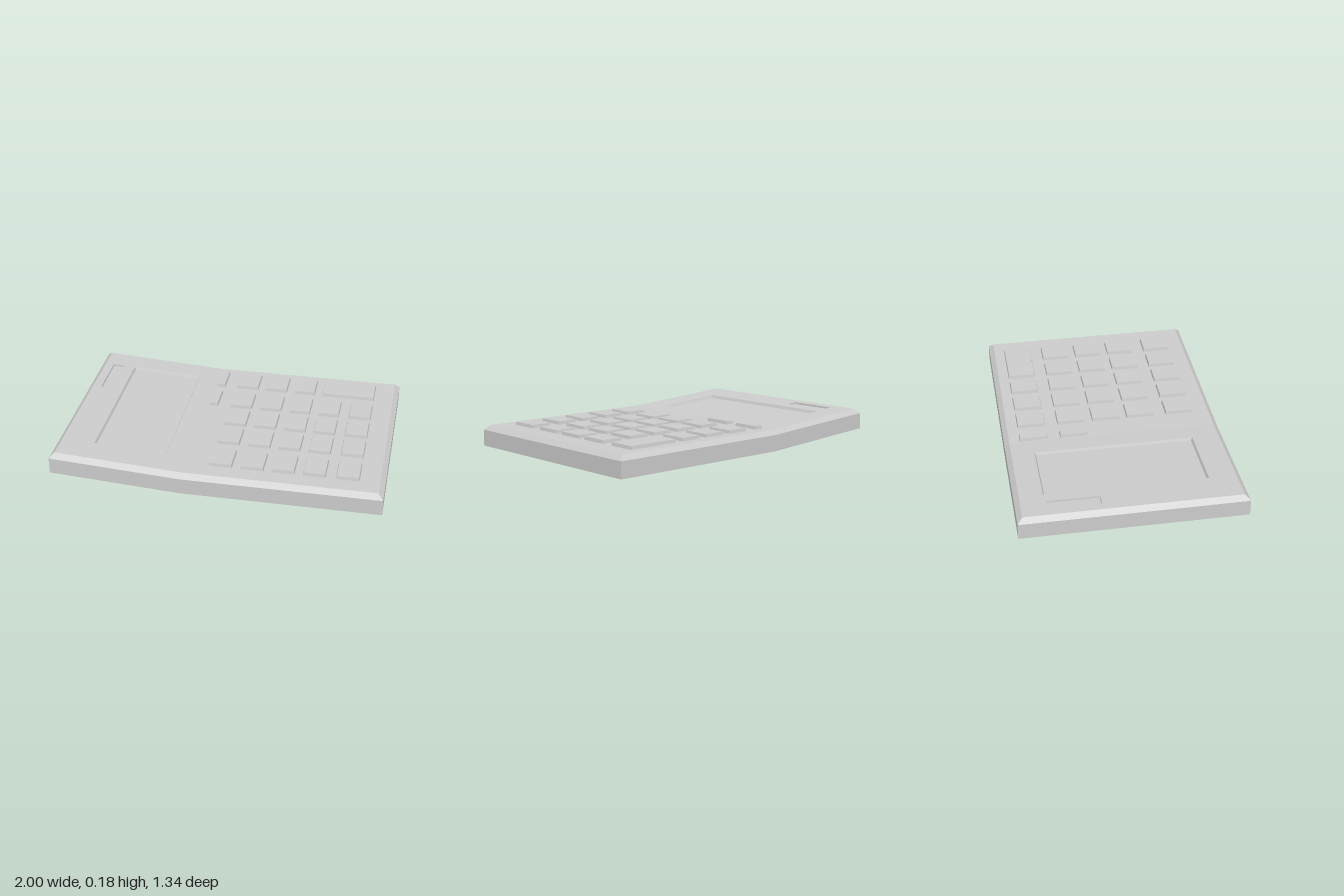
import * as THREE from 'three';

const material = new THREE.MeshStandardMaterial({ color: 0xcccccc, flatShading: true, side: THREE.DoubleSide });
const BEND = -0.2, TOP = 0.13;

// The case is flat on the key side and tilts upward beyond the bend line
const lift = x => Math.max(0, BEND - x) * 0.0625;

// Rectangle as a counter-clockwise loop, with extra points on the bend line
function loop([x0, x1, z0, z1], y, inset = 0) {
  const a = x0 + inset, b = x1 - inset, c = z0 + inset, d = z1 - inset;
  const bent = a < BEND && b > BEND;
  const plan = bent
    ? [[a, d], [BEND, d], [b, d], [b, c], [BEND, c], [a, c]]
    : [[a, d], [b, d], [b, c], [a, c]];
  return plan.map(([x, z]) => [x, y + lift(x), z]);
}

// Walls between successive loops, with an optional flat cap on the last one
function shell(name, loops, cap) {
  const pos = [];
  const quad = (a, b, c, d) => pos.push(...a, ...b, ...c, ...a, ...c, ...d);
  for (let k = 0; k < loops.length - 1; k++) {
    const lo = loops[k], hi = loops[k + 1], n = lo.length;
    for (let i = 0; i < n; i++) {
      const j = (i + 1) % n;
      quad(lo[i], lo[j], hi[j], hi[i]);
    }
  }
  if (cap) quad(...loops[loops.length - 1]);
  const geo = new THREE.BufferGeometry();
  geo.setAttribute('position', new THREE.Float32BufferAttribute(pos, 3));
  geo.computeVertexNormals();
  const mesh = new THREE.Mesh(geo, material);
  mesh.name = name;
  return mesh;
}

// Part of the top face, cut out under every key and recess
function plate(name, [x0, x1, z0, z1], holes) {
  const corners = (a, b, c, d) => [[a, -d], [b, -d], [b, -c], [a, -c]].map(p => new THREE.Vector2(...p));
  const shape = new THREE.Shape(corners(x0, x1, z0, z1));
  for (const h of holes) shape.holes.push(new THREE.Path(corners(...h).reverse()));
  const geo = new THREE.ShapeGeometry(shape).rotateX(-Math.PI / 2);
  const p = geo.attributes.position;
  for (let i = 0; i < p.count; i++) p.setY(i, TOP + lift(p.getX(i)));
  geo.computeVertexNormals();
  const mesh = new THREE.Mesh(geo, material);
  mesh.name = name;
  return mesh;
}

export function createModel() {
  const model = new THREE.Group();
  model.name = 'calculator';

  // Open-bottomed case with a chamfered rim
  const outline = [-1, 1, -0.67, 0.67];
  model.add(shell('caseWalls', [loop(outline, 0), loop(outline, 0.1), loop(outline, TOP, 0.03)], false));

  // Key layout
  const columns = [[-0.05, 0.09], [0.14, 0.28], [0.33, 0.465], [0.515, 0.65], [0.71, 0.85]];
  const rows = [[-0.575, -0.4], [-0.325, -0.15], [-0.105, 0.07], [0.115, 0.29], [0.365, 0.54]];
  const keys = [];
  rows.forEach((row, r) => {
    if (r < 2) keys.push([-0.19, -0.13, ...row]);
    columns.forEach((col, c) => {
      if (r === 0 && c === 4) return;
      keys.push(r === 0 && c === 3 ? [0.515, 0.85, ...row] : [...col, ...row]);
    });
  });

  // Hollow raised keys
  const keypad = new THREE.Group();
  keypad.name = 'keypad';
  for (const k of keys) keypad.add(shell('key', [loop(k, TOP), loop(k, 0.15, 0.004)], true));
  model.add(keypad);

  // Sunken display and small side window
  const display = [-0.772, -0.325, -0.5, 0.475];
  const slot = [-0.915, -0.84, -0.49, -0.18];
  model.add(shell('display', [loop(display, TOP), loop(display, TOP - 0.018, 0.008)], true));
  model.add(shell('sideWindow', [loop(slot, TOP), loop(slot, TOP - 0.012, 0.001)], true));

  // Top face on either side of the bend
  model.add(plate('displayPlate', [-0.97, BEND, -0.64, 0.64], [display, slot]));
  model.add(plate('keyPlate', [BEND, 0.97, -0.64, 0.64], keys));
  return model;
}
